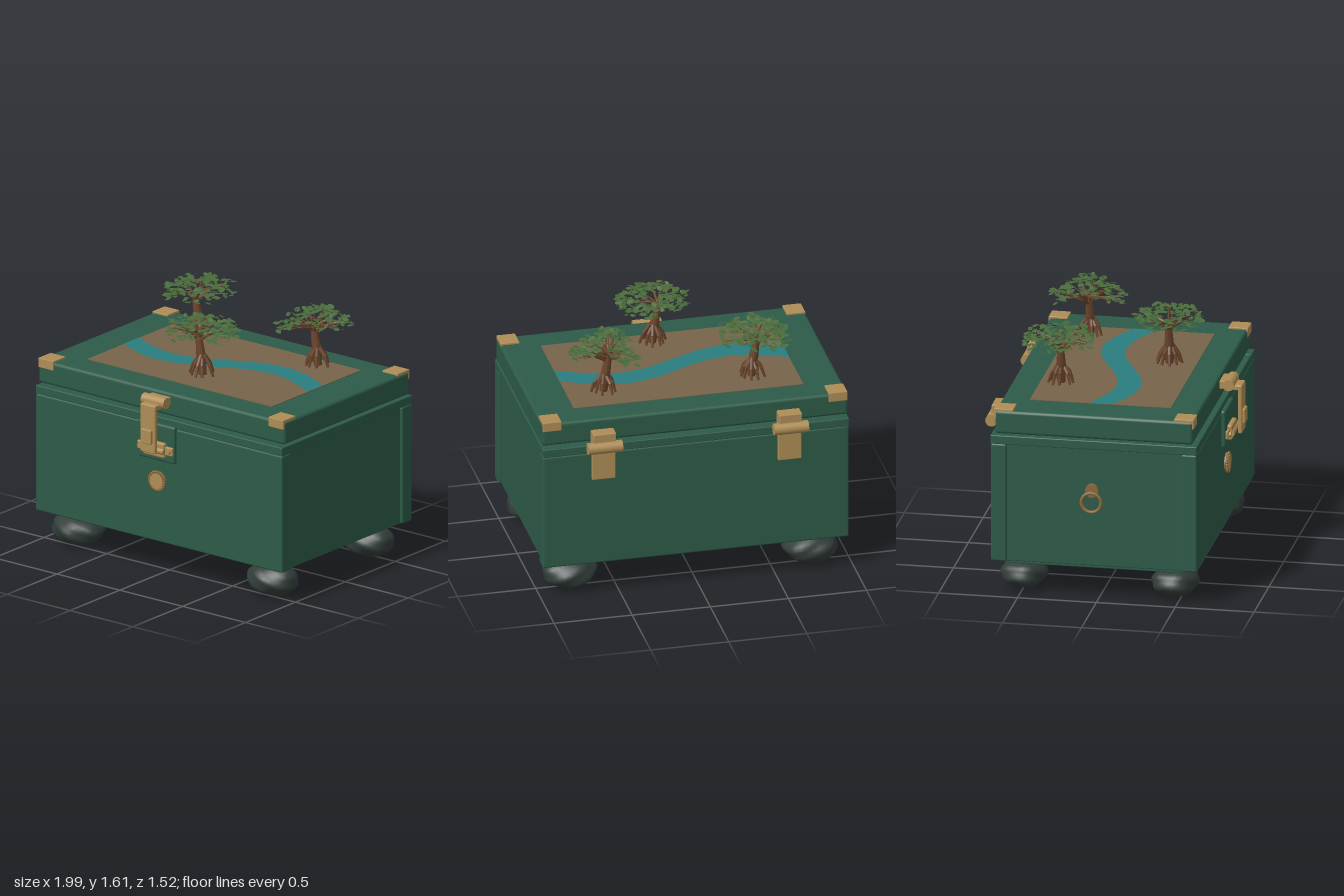
import * as THREE from 'three';
import { mergeGeometries, mergeVertices } from 'three/addons/utils/BufferGeometryUtils.js';
import { RoundedBoxGeometry } from 'three/addons/geometries/RoundedBoxGeometry.js';

function material(name, color, extra = {}) {
  return Object.assign(new THREE.MeshStandardMaterial({ color, ...extra }), { name });
}
const green = material('chest green', 0x2d5b48);
const brass = material('brass', 0xae8d56);
const bronze = material('dark brass', 0x8a6a3c);
const earth = material('earth brown', 0x77634a);
const water = material('river teal', 0x2a7d7e);
const stone = material('dark stone', 0x323d3a);
const bark = material('bark brown', 0x6b452c);
const foliage = material('leaf green', 0x48693a, { side: THREE.DoubleSide });

const CX = 0.015; // centre line of the chest

function seeded(seed) {
  return () => {
    seed = (seed * 16807) % 2147483647;
    return seed / 2147483647;
  };
}

function add(parent, name, geometry, mat, x = 0, y = 0, z = 0) {
  const mesh = new THREE.Mesh(geometry, mat);
  mesh.name = name;
  mesh.position.set(x, y, z);
  parent.add(mesh);
  return mesh;
}

// Softened box given by its limits on each axis
function block(parent, name, mat, [x0, x1], [y0, y1], [z0, z1], r = 0.006) {
  return add(parent, name, new RoundedBoxGeometry(x1 - x0, y1 - y0, z1 - z0, 2, r), mat,
    (x0 + x1) / 2, (y0 + y1) / 2, (z0 + z1) / 2);
}

function barrel(parent, name, mat, r, length, x, y, z, axis = 'x') {
  const g = new THREE.CylinderGeometry(r, r, length, 24);
  if (axis === 'x') g.rotateZ(Math.PI / 2); else g.rotateX(Math.PI / 2);
  return add(parent, name, g, mat, x, y, z);
}

// Tapered cylinder between two points
function limb(a, b, r0, r1, sides = 7) {
  const d = b.clone().sub(a);
  const g = new THREE.CylinderGeometry(r1, r0, d.length(), sides);
  g.applyQuaternion(new THREE.Quaternion().setFromUnitVectors(new THREE.Vector3(0, 1, 0), d.normalize()));
  const m = a.clone().add(b).multiplyScalar(0.5);
  return g.translate(m.x, m.y, m.z);
}

function makeBody() {
  const body = new THREE.Group();
  body.name = 'chestBody';
  const full = [-0.965, 0.995];
  block(body, 'base', green, [-0.885, 0.912], [0.187, 0.4], [-0.58, 0.535]);
  block(body, 'core', green, [-0.945, 0.975], [0.222, 1.0], [-0.6, 0.55]);
  block(body, 'frontPanel', green, full, [0.222, 0.992], [0.532, 0.63], 0.012);
  block(body, 'backPanel', green, full, [0.222, 0.992], [-0.678, -0.577], 0.012);
  for (const z of [[0.52, 0.628], [-0.678, -0.57]]) block(body, 'longRim', green, [-0.85, 0.88], [0.99, 1.045], z);
  for (const x of [[-0.965, -0.845], [0.875, 0.995]]) block(body, 'sideRim', green, x, [0.99, 1.047], [-0.68, 0.63]);
  return body;
}

function makeLid() {
  const lid = new THREE.Group();
  lid.name = 'lid';
  block(lid, 'lidSlab', green, [-0.965, 0.995], [1.058, 1.21], [-0.65, 0.605], 0.02);
  add(lid, 'earthPanel', new THREE.BoxGeometry(1.47, 0.006, 0.895), earth, CX, 1.211, -0.027);

  // Winding river ribbon
  const centre = x => -0.028 + 0.113 * Math.cos(Math.PI * (x + 0.37) / 0.73);
  const river = new THREE.PlaneGeometry(1.47, 0.154, 48, 1).rotateX(-Math.PI / 2).translate(CX, 0, 0);
  const p = river.attributes.position;
  for (let i = 0; i < p.count; i++) p.setZ(i, p.getZ(i) + centre(p.getX(i)));
  add(lid, 'river', river, water, 0, 1.2165, 0);

  // Brass corner caps
  for (const x of [[-0.96, -0.84], [0.87, 0.99]])
    for (const z of [[0.485, 0.61], [-0.656, -0.535]])
      block(lid, 'cornerCap', brass, x, [1.16, 1.222], z, 0.004);
  return lid;
}

function makeLatch() {
  const latch = new THREE.Group();
  latch.name = 'latch';
  block(latch, 'backPlate', green, [-0.133, 0.16], [0.765, 1.01], [0.62, 0.656], 0.015);
  block(latch, 'catchBlock', brass, [-0.07, 0.1], [0.8, 0.898], [0.65, 0.686], 0.012);
  block(latch, 'catchBar', brass, [-0.125, 0.155], [0.82, 0.876], [0.65, 0.672], 0.008);
  for (const s of [-1, 1]) barrel(latch, 'catchScrew', brass, 0.016, 0.03, CX + s * 0.112, 0.848, 0.67, 'z');
  barrel(latch, 'catchPin', brass, 0.02, 0.17, CX, 0.845, 0.68);
  barrel(latch, 'hingeBarrel', brass, 0.036, 0.18, CX, 1.16, 0.662);
  block(latch, 'hingeLeaf', brass, [-0.06, 0.09], [1.13, 1.185], [0.595, 0.66]);
  block(latch, 'strapTop', brass, [-0.045, 0.075], [1.12, 1.156], [0.67, 0.744], 0.01);
  block(latch, 'strap', brass, [-0.045, 0.075], [0.838, 1.15], [0.715, 0.744], 0.01);
  block(latch, 'strapKnob', brass, [-0.028, 0.055], [0.9, 0.995], [0.73, 0.76], 0.006);
  return latch;
}

// Round boss with a beaded border
function makeMedallion() {
  const boss = new THREE.Group();
  boss.name = 'medallion';
  barrel(boss, 'bossPlate', bronze, 0.062, 0.024, 0, 0, 0.01, 'z');
  barrel(boss, 'bossFace', brass, 0.05, 0.028, 0, 0, 0.011, 'z');
  const beads = [];
  for (let i = 0; i < 24; i++) {
    const a = i / 24 * Math.PI * 2;
    beads.push(new THREE.SphereGeometry(0.009, 8, 6).translate(Math.cos(a) * 0.06, Math.sin(a) * 0.06, 0.018));
  }
  add(boss, 'beads', mergeGeometries(beads), bronze);
  boss.position.set(CX, 0.628, 0.63);
  return boss;
}

function makeRingHandle() {
  const handle = new THREE.Group();
  handle.name = 'ringHandle';
  barrel(handle, 'ringMount', bronze, 0.042, 0.03, -0.965, 0.722, -0.035);
  add(handle, 'ring', new THREE.TorusGeometry(0.062, 0.011, 10, 36).rotateY(Math.PI / 2), bronze, -0.989, 0.65, -0.035);
  return handle;
}

function makeHinge(x) {
  const hinge = new THREE.Group();
  hinge.name = 'hinge';
  barrel(hinge, 'hingeBarrel', brass, 0.038, 0.22, x, 1.047, -0.725);
  block(hinge, 'upperLeaf', brass, [x - 0.073, x + 0.073], [1.05, 1.14], [-0.73, -0.645]);
  block(hinge, 'lowerLeaf', brass, [x - 0.075, x + 0.075], [0.815, 1.05], [-0.705, -0.67]);
  return hinge;
}

// Lumpy boulder foot
function makeFoot(x, z, seed) {
  let g = new THREE.IcosahedronGeometry(1, 5);
  g.deleteAttribute('uv');
  g.deleteAttribute('normal');
  g = mergeVertices(g);
  const p = g.attributes.position, v = new THREE.Vector3();
  for (let i = 0; i < p.count; i++) {
    v.fromBufferAttribute(p, i);
    const bump = 0.05 * Math.sin(4 * v.x + seed) * Math.cos(5 * v.z + seed) + 0.035 * Math.sin(7 * v.y + 6 * v.x + seed * 2);
    v.multiplyScalar(0.97 + bump);
    p.setXYZ(i, v.x * 0.178, Math.max(v.y * 0.104, -0.104), v.z * 0.15);
  }
  g.computeVertexNormals();
  return add(new THREE.Group(), 'stoneFoot', g, stone, x, 0.104, z);
}

// Stilt-rooted tree; crowns lists leaf clusters as [x, z, radius, count, hollow]
function makeTree(x, z, seed, crowns) {
  const tree = new THREE.Group();
  tree.name = 'tree';
  const rnd = seeded(seed), V = (a, b, c) => new THREE.Vector3(a, b, c);
  const wood = [], leaves = [];
  const mid = V(-0.01, 0.13, 0), top = V(-0.032, 0.27, 0);
  wood.push(limb(V(0.006, 0, 0), mid, 0.026, 0.03), limb(mid, top, 0.03, 0.019));

  // Arched prop roots
  for (let i = 0; i < 9; i++) {
    const a = (i + rnd() * 0.5) / 9 * Math.PI * 2, r = 0.06 + rnd() * 0.025;
    const at = (k, y) => V(Math.cos(a) * r * k, y, Math.sin(a) * r * k);
    const start = at(0.2, 0.1 + rnd() * 0.03), knee = at(0.75, 0.065);
    wood.push(limb(start, knee, 0.012, 0.011, 6), limb(knee, at(1.05, 0), 0.011, 0.008, 6));
  }

  for (const [cx, cz, radius, count, hollow] of crowns) {
    // Branches reaching out under the leaves
    const n = Math.max(3, Math.round(radius * 55));
    for (let i = 0; i < n; i++) {
      const a = (i + rnd() * 0.6) / n * Math.PI * 2, r = radius * (0.5 + rnd() * 0.35);
      const end = V(cx + Math.cos(a) * r, 0.27 + rnd() * 0.06, cz + Math.sin(a) * r);
      const start = mid.clone().lerp(top, 0.45 + rnd() * 0.55);
      const bend = start.clone().lerp(end, 0.5).add(V(0, 0.012, 0));
      wood.push(limb(start, bend, 0.01, 0.007, 5), limb(bend, end, 0.007, 0.003, 5));
    }
    // Flat leaves spread over a shallow dome
    for (let i = 0; i < count; i++) {
      const a = rnd() * Math.PI * 2, r = radius * Math.sqrt(hollow + (1 - hollow) * rnd());
      const lx = cx + Math.cos(a) * r, lz = cz + Math.sin(a) * r;
      const y = 0.335 - 0.9 * (lx * lx + lz * lz) + (rnd() - 0.5) * 0.065;
      const leaf = new THREE.CircleGeometry(0.02 + rnd() * 0.006, 6).scale(1, 0.65, 1);
      leaf.rotateX(-Math.PI / 2).rotateZ((rnd() - 0.5) * 0.8).rotateX((rnd() - 0.5) * 0.8).rotateY(rnd() * 6.28);
      leaves.push(leaf.translate(lx, y, lz));
    }
  }
  add(tree, 'trunkAndBranches', mergeGeometries(wood), bark);
  add(tree, 'leaves', mergeGeometries(leaves), foliage);
  tree.position.set(x, 1.24, z);
  return tree;
}

export function createModel() {
  const model = new THREE.Group();
  model.name = 'treasureChest';
  model.add(makeBody(), makeLid(), makeLatch(), makeMedallion(), makeRingHandle());
  for (const x of [-0.58, 0.61]) model.add(makeHinge(x));
  [[-0.758, 0.455], [0.788, 0.455], [-0.758, -0.503], [0.788, -0.503]]
    .forEach(([x, z], i) => model.add(makeFoot(x, z, i * 1.7 + 1)));
  model.add(
    makeTree(-0.425, -0.33, 101, [[-0.01, -0.01, 0.225, 230, 0.05]]),
    makeTree(0.07, 0.262, 577, [[0.0, -0.005, 0.23, 230, 0.05]]),
    makeTree(0.52, -0.325, 911, [[-0.1, -0.14, 0.095, 50, 0], [0.13, -0.04, 0.1, 60, 0],
      [-0.09, 0.18, 0.08, 40, 0], [0.04, 0.09, 0.08, 20, 0], [-0.12, -0.01, 0.08, 20, 0]]));
  return model;
}
